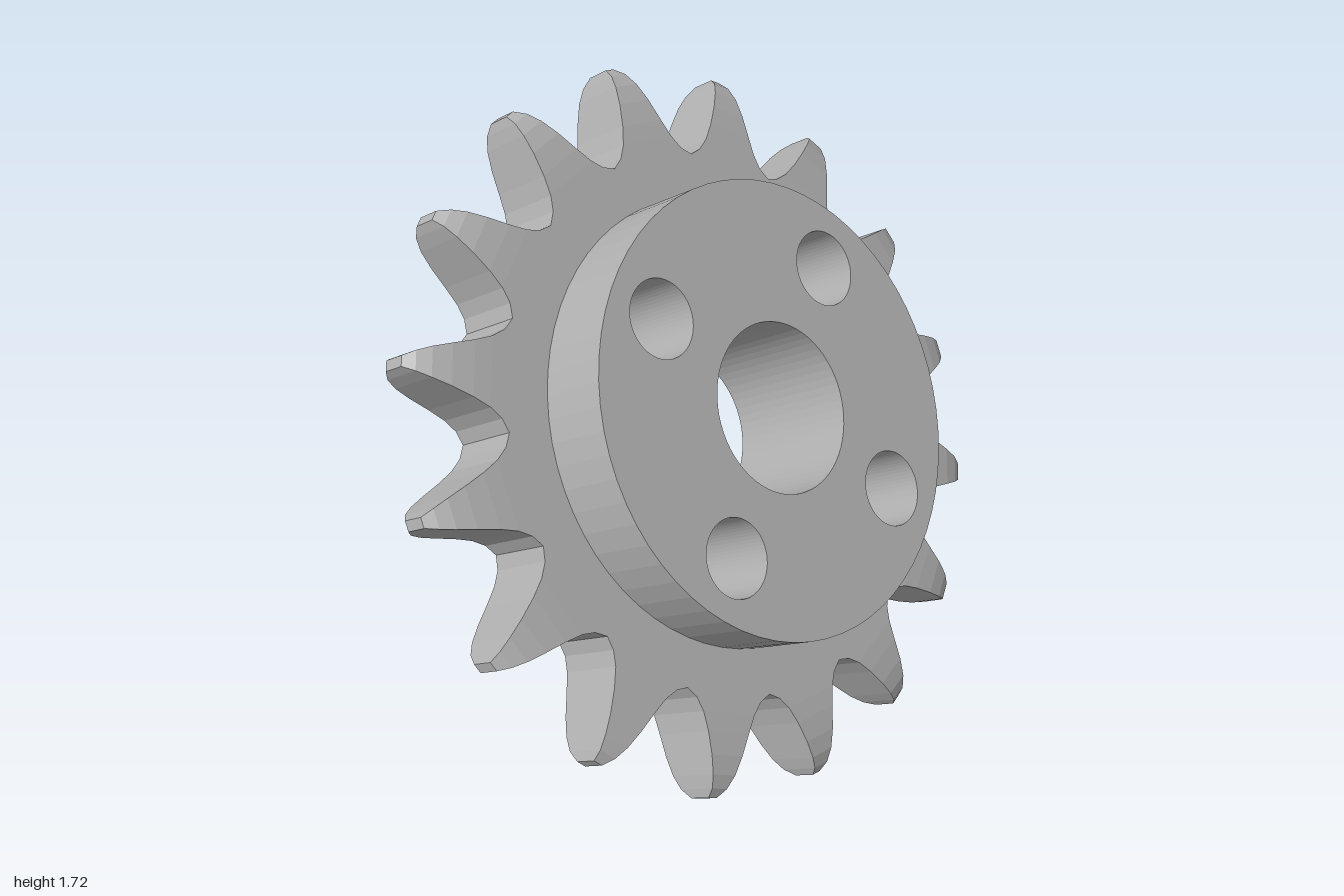
import * as THREE from 'three';

const HALF = 0.1;         // half thickness of the toothed plate
const HUB_HEIGHT = 0.206;
const TEETH = 16;
const deg = THREE.MathUtils.degToRad;

// Disc outline with the central bore and four bolt holes
function discShape(radius) {
  const shape = new THREE.Shape();
  shape.absarc(0, 0, radius, 0, Math.PI * 2);
  const addHole = (x, y, r) => {
    const hole = new THREE.Path();
    hole.absarc(x, y, r, 0, Math.PI * 2, true);
    shape.holes.push(hole);
  };
  addHole(0, 0, 0.232);
  for (let i = 0; i < 4; i++) {
    const a = deg(122 + i * 90);
    addHole(0.45 * Math.cos(a), 0.45 * Math.sin(a), 0.105);
  }
  return shape;
}

function disc(radius, depth, z) {
  const geometry = new THREE.ExtrudeGeometry(discShape(radius), {
    depth, bevelEnabled: false, curveSegments: 32,
  });
  return geometry.translate(0, 0, z);
}

// Tooth lofted outward through rectangular sections: [radius, half width, half thickness]
function toothGeometry() {
  const rows = [
    [0.732, 0.146, HALF], [0.755, 0.114, HALF], [0.79, 0.091, HALF],
    [0.84, 0.072, 0.098], [0.90, 0.054, 0.092], [0.95, 0.039, 0.08],
    [0.985, 0.026, 0.062], [1.008, 0.014, 0.034],
  ];
  const positions = [];
  const index = [];
  rows.forEach(([r, w, h], i) => {
    positions.push(-w, r, -h, w, r, -h, w, r, h, -w, r, h);
    if (i === rows.length - 1) return;
    for (let j = 0; j < 4; j++) {
      const a = i * 4 + j;
      const b = i * 4 + (j + 1) % 4;
      index.push(b, a, a + 4, b, a + 4, b + 4);
    }
  });
  const top = (rows.length - 1) * 4;
  index.push(top, top + 3, top + 2, top, top + 2, top + 1);
  const indexed = new THREE.BufferGeometry();
  indexed.setAttribute('position', new THREE.Float32BufferAttribute(positions, 3));
  indexed.setIndex(index);
  const geometry = indexed.toNonIndexed();
  geometry.computeVertexNormals();
  return geometry;
}

export function createModel() {
  const steel = new THREE.MeshStandardMaterial({ color: 0xb0b0b0 });
  steel.name = 'grey steel';

  const sprocket = new THREE.Group();
  sprocket.name = 'sprocket';
  const add = (name, geometry) => {
    const mesh = new THREE.Mesh(geometry, steel);
    mesh.name = name;
    sprocket.add(mesh);
    return mesh;
  };

  // Plate and raised hub, both pierced by the same holes
  add('plate', disc(0.747, HALF * 2, -HALF));
  add('hub', disc(0.62, HUB_HEIGHT, HALF));

  // Ring of teeth
  const tooth = toothGeometry();
  for (let i = 0; i < TEETH; i++) {
    add('tooth', tooth).rotation.z = deg(8.1) + (i * Math.PI * 2) / TEETH;
  }

  // Axle points left, leaning 32 degrees up and slightly towards the front
  sprocket.rotation.set(0, Math.PI / 2 - 0.082, deg(32), 'ZYX');
  sprocket.position.set(-0.004, 0.861, 0);

  const model = new THREE.Group();
  model.name = 'tilted sprocket';
  model.add(sprocket);
  return model;
}
